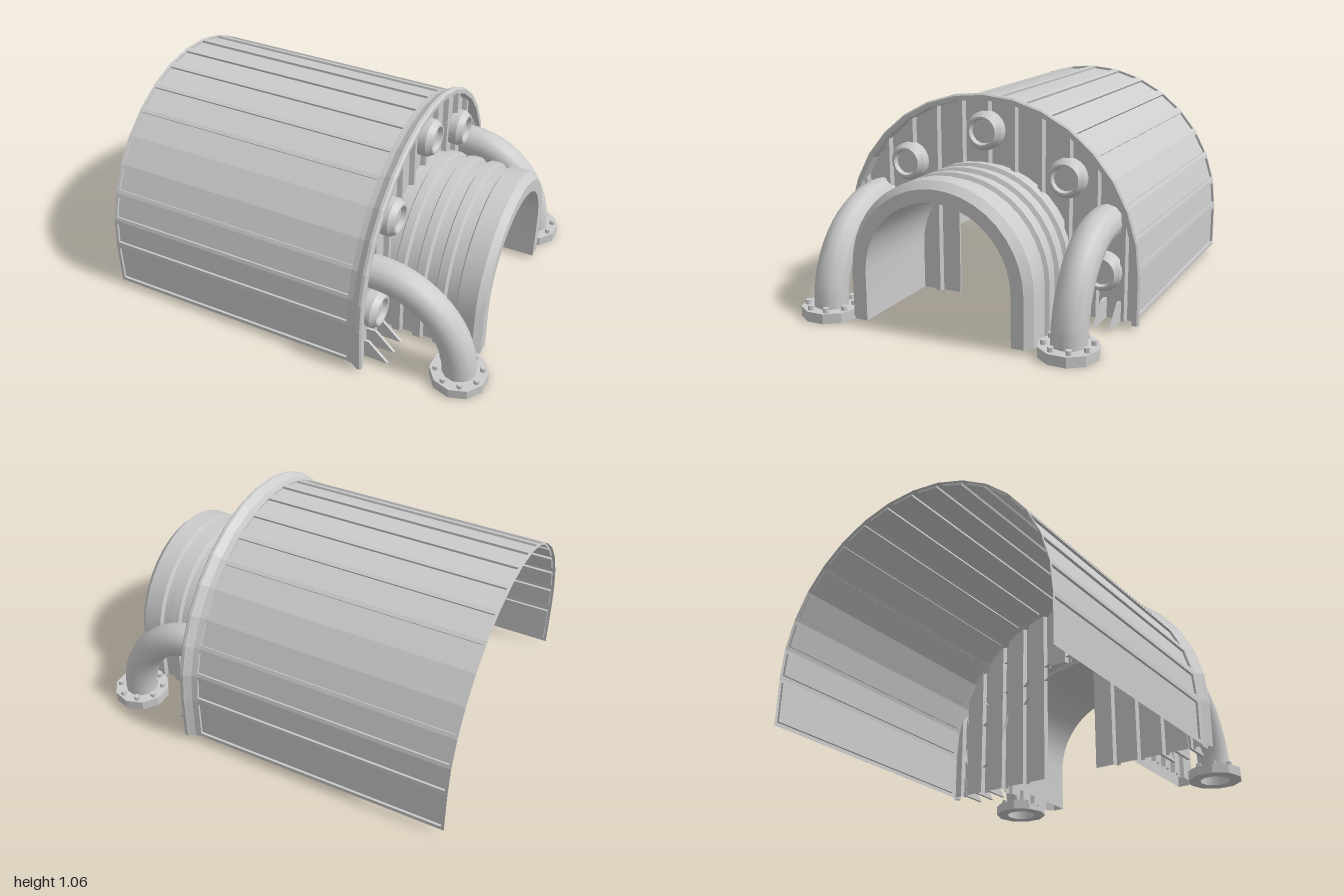
import * as THREE from 'three';
import { toCreasedNormals } from 'three/addons/utils/BufferGeometryUtils.js';

const FLOOR = 0.02, CY = 0.26, R = 0.775, SEGS = 16;
const flat = new THREE.MeshStandardMaterial({ color: 0xcccccc, flatShading: true, side: THREE.DoubleSide });
const smooth = new THREE.MeshStandardMaterial({ color: 0xcccccc, side: THREE.DoubleSide });

function mesh(name, geometry, material = flat) {
  const m = new THREE.Mesh(geometry, material);
  m.name = name;
  return m;
}

// Collects quads of Vector3 corners (counter-clockwise from outside)
function quadBuilder() {
  const pos = [];
  return {
    quad(a, b, c, d) { for (const p of [a, b, c, a, c, d]) pos.push(p.x, p.y, p.z); },
    build() {
      const g = new THREE.BufferGeometry();
      g.setAttribute('position', new THREE.Float32BufferAttribute(pos, 3));
      g.computeVertexNormals();
      return g;
    },
  };
}

// Arch with straight legs: half circle of radius r, running from +z over the top to -z
function archPoints(x, r, segs) {
  const pts = [new THREE.Vector3(x, FLOOR, r)];
  for (let i = 0; i <= segs; i++) {
    const a = Math.PI * i / segs;
    pts.push(new THREE.Vector3(x, CY + r * Math.sin(a), r * Math.cos(a)));
  }
  pts.push(new THREE.Vector3(x, FLOOR, -r));
  return pts;
}

// Sweeps a profile of [x, radius] points along the arch
function archSweep(profile, segs) {
  const rows = profile.map(([x, r]) => archPoints(x, r, segs));
  const b = quadBuilder();
  for (let j = 0; j < rows.length - 1; j++)
    for (let i = 0; i < rows[j].length - 1; i++)
      b.quad(rows[j][i], rows[j + 1][i], rows[j + 1][i + 1], rows[j][i + 1]);
  return b.build();
}

// Vaulted shell: one recessed panel in every facet
function shellGeometry() {
  const x0 = -1, x1 = 0.35, b = quadBuilder();
  const A = archPoints(x0, R, SEGS), B = archPoints(x1, R, SEGS);
  for (let i = 0; i < A.length - 1; i++) {
    const along = A[i + 1].clone().sub(A[i]).normalize();
    const inward = new THREE.Vector3(1, 0, 0).cross(along).multiplyScalar(-0.012);
    const outer = [A[i], B[i], B[i + 1], A[i + 1]];
    const rim = outer.map((p, k) => p.clone()
      .addScaledVector(along, k < 2 ? 0.02 : -0.02)
      .setX(k === 0 || k === 3 ? -0.985 : 0.335));
    const sunk = rim.map(p => p.clone().add(inward));
    for (let k = 0; k < 4; k++) {
      const n = (k + 1) % 4;
      b.quad(outer[k], outer[n], rim[n], rim[k]);
      b.quad(rim[k], rim[n], sunk[n], sunk[k]);
    }
    b.quad(...sunk);
  }
  return b.build();
}

// Corrugated end wall with a central doorway
function endWallGeometry() {
  const edge = 0.768, pitch = 0.142, b = quadBuilder(), cols = [];
  for (let k = -5; k <= 5; k++) {
    const z = k * pitch;
    cols.push([z - 0.02, 0.37], [z - 0.012, 0.395], [z + 0.012, 0.395], [z + 0.02, 0.37]);
    cols.push([z + pitch / 2, 0.37]);
  }
  const inside = cols.filter(c => Math.abs(c[0]) < edge - 0.01);
  const all = [[-edge, 0.37], [-0.755, 0.37], ...inside, [0.755, 0.37], [edge, 0.37]].sort((p, q) => p[0] - q[0]);
  const top = z => CY + Math.sqrt(Math.max(0, edge * edge - z * z));
  for (let i = 0; i < all.length - 1; i++) {
    const [z0, d0] = all[i], [z1, d1] = all[i + 1];
    const low = Math.abs((z0 + z1) / 2) < 0.145 ? 0.68 : FLOOR;
    b.quad(new THREE.Vector3(d1, low, z1), new THREE.Vector3(d0, low, z0),
      new THREE.Vector3(d0, top(z0), z0), new THREE.Vector3(d1, top(z1), z1));
  }
  return b.build();
}

// Entrance tunnel: ribbed outside, chamfered mouth, plain inside
function tunnelGeometry() {
  const hi = 0.475, lo = 0.455, profile = [[0.37, lo], [0.43, lo], [0.44, hi], [0.48, hi]];
  for (const x of [0.49, 0.6, 0.71])
    profile.push([x, lo], [x + 0.05, lo], [x + 0.06, hi], [x + 0.1, hi]);
  profile.splice(-1, 1, [0.865, hi], [0.9, 0.44], [0.9, 0.378], [0.37, 0.378]);
  return toCreasedNormals(archSweep(profile, 20), 0.4);
}

// Lathe turned so its axis points along +x
function porthole(y, z) {
  const pts = [[0.095, 0], [0.095, 0.045], [0.075, 0.075], [0.064, 0.075], [0.058, 0.05], [0, 0.05]];
  const g = new THREE.LatheGeometry(pts.map(p => new THREE.Vector2(...p)), 20);
  g.rotateZ(-Math.PI / 2);
  const m = mesh('porthole', toCreasedNormals(g, 0.45), smooth);
  m.position.set(0.375, y, z);
  return m;
}

// Bent pipe ending in a bolted floor flange
function pipe(name, endX, z) {
  const group = new THREE.Group();
  group.name = name;
  const pts = [new THREE.Vector3(0.37, 0.495, z)];
  for (let i = 0; i <= 8; i++) {
    const a = Math.PI / 2 * i / 8;
    pts.push(new THREE.Vector3(0.42 + (endX - 0.42) * Math.sin(a), 0.04 + 0.455 * Math.cos(a), z));
  }
  pts.push(new THREE.Vector3(endX, 0.002, z));
  group.add(mesh('elbow', new THREE.TubeGeometry(new THREE.CatmullRomCurve3(pts), 16, 0.084, 12), smooth));

  const ring = [[0.08, 0], [0.143, 0], [0.143, 0.05], [0.08, 0.05]].map(p => new THREE.Vector2(...p));
  const flange = mesh('flange', new THREE.LatheGeometry(ring, 10));
  flange.position.set(endX, 0, z);
  group.add(flange);
  for (let i = 0; i < 8; i++) {
    const a = Math.PI * 2 * (i + 0.5) / 8;
    const bolt = mesh('bolt', new THREE.CylinderGeometry(0.015, 0.015, 0.07, 8));
    bolt.position.set(endX + 0.113 * Math.cos(a), 0.037, z + 0.113 * Math.sin(a));
    group.add(bolt);
  }
  return group;
}

// Triangular brace at the foot of the end wall
function gusset(z) {
  const s = new THREE.Shape();
  s.moveTo(0.37, FLOOR);
  s.lineTo(0.52, FLOOR);
  s.lineTo(0.42, 0.12);
  s.lineTo(0.37, 0.12);
  const m = mesh('gusset', new THREE.ExtrudeGeometry(s, { depth: 0.014, bevelEnabled: false }));
  m.position.z = z - 0.007;
  return m;
}

export function createModel() {
  const model = new THREE.Group();
  model.name = 'vaultedShelter';

  model.add(mesh('shell', shellGeometry()));
  model.add(mesh('endFlange', archSweep([[0.335, 0.775], [0.365, 0.78], [0.392, 0.797], [0.4, 0.803],
    [0.415, 0.803], [0.423, 0.795], [0.423, 0.772], [0.37, 0.768]], SEGS)));
  model.add(mesh('endWall', endWallGeometry()));
  model.add(mesh('tunnel', tunnelGeometry(), smooth));

  // Portholes fan out around the tunnel
  model.add(porthole(0.88, 0));
  for (const side of [1, -1]) {
    model.add(porthole(0.69, 0.43 * side), porthole(0.26, 0.615 * side));
    for (const z of [0.54, 0.62, 0.7]) model.add(gusset(z * side));
  }

  model.add(pipe('leftPipe', 0.855, 0.615));
  model.add(pipe('rightPipe', 0.815, -0.62));
  return model;
}
